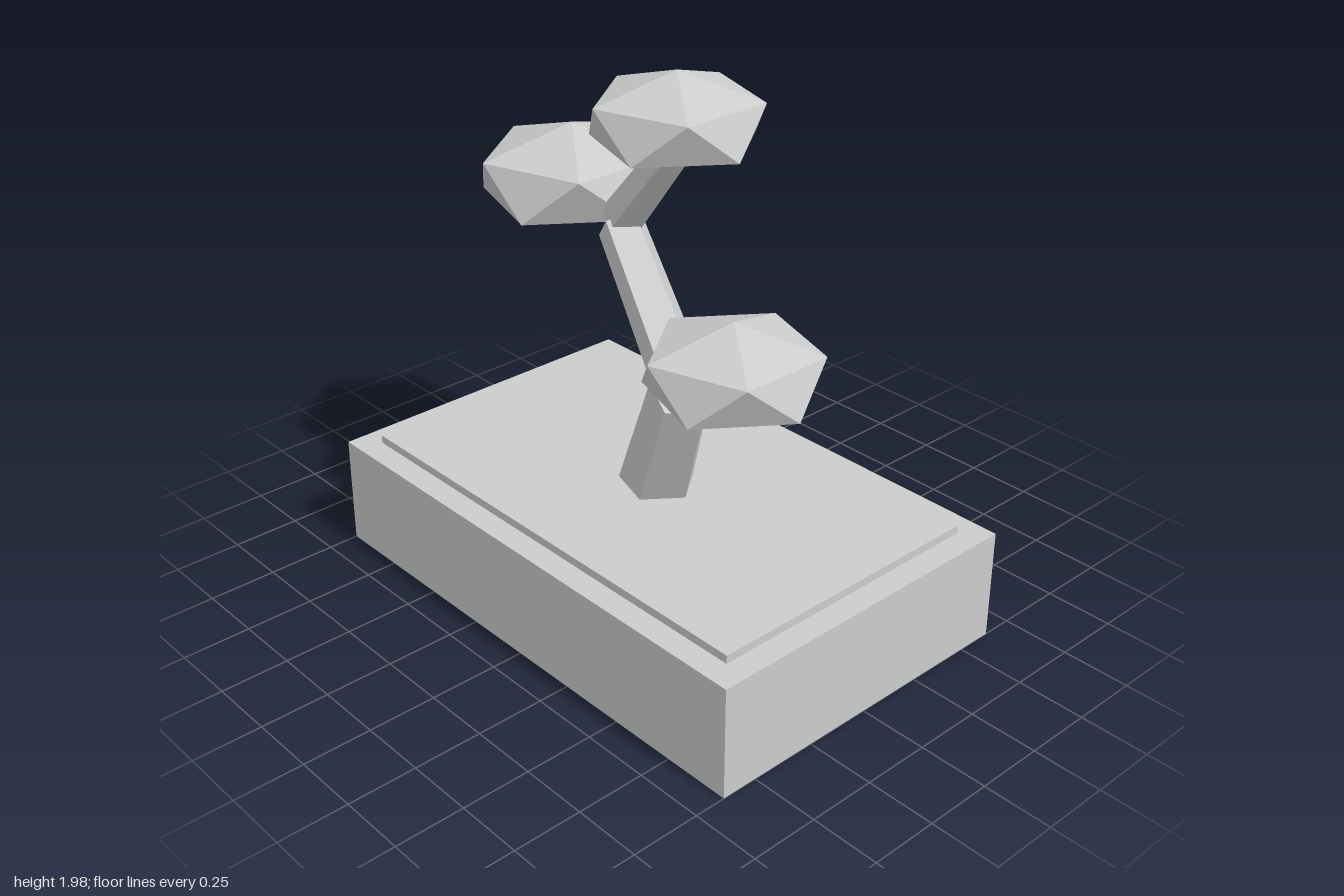
import * as THREE from 'three';

const UP = new THREE.Vector3(0, 1, 0);

export function createModel() {
  const model = new THREE.Group();
  model.name = 'bonsaiTree';
  const grey = new THREE.MeshStandardMaterial({ color: 0xcccccc });
  grey.name = 'plainGrey';

  const add = (name, geometry) => {
    const mesh = new THREE.Mesh(geometry, grey);
    mesh.name = name;
    model.add(mesh);
    return mesh;
  };

  // Faceted normals: split the faces apart
  const faceted = (geometry) => {
    const flat = geometry.index ? geometry.toNonIndexed() : geometry;
    flat.computeVertexNormals();
    return flat;
  };

  // Block with its bottom at y
  const slab = (name, w, h, d, y) => {
    add(name, new THREE.BoxGeometry(w, h, d)).position.y = y + h / 2;
  };

  // Tapered five-sided limb between two points
  const limb = (name, from, to, r0, r1) => {
    const a = new THREE.Vector3(...from);
    const b = new THREE.Vector3(...to);
    const dir = b.clone().sub(a);
    const geometry = new THREE.CylinderGeometry(r1, r0, dir.length(), 5, 1, false, Math.PI / 2);
    const mesh = add(name, faceted(geometry));
    mesh.position.copy(a).add(b).multiplyScalar(0.5);
    mesh.quaternion.setFromUnitVectors(UP, dir.normalize());
  };

  // Squashed icosahedron standing on a corner
  const foliage = (name, centre, radius) => {
    const geometry = new THREE.IcosahedronGeometry(radius, 0);
    geometry.rotateZ(Math.atan(2 / (1 + Math.sqrt(5))));
    geometry.scale(1, 0.505, 1);
    add(name, faceted(geometry)).position.set(...centre);
  };

  // Pot and soil
  slab('pot', 2, 0.41, 1.27, 0);
  slab('soil', 1.82, 0.03, 1.09, 0.41);

  // Trunk and branches
  limb('trunk', [-0.04, 0.32, -0.01], [0.22, 0.905, 0.09], 0.143, 0.112);
  limb('mainBranch', [0.225, 0.92, 0.09], [-0.235, 1.325, -0.045], 0.098, 0.086);
  limb('topBranch', [-0.235, 1.345, -0.05], [0.12, 1.74, 0], 0.08, 0.06);
  limb('sideBranch', [0.22, 0.905, 0.09], [0.52, 1.05, 0.17], 0.065, 0.046);

  // Leaf clumps
  foliage('rightFoliage', [-0.55, 1.413, -0.095], 0.37);
  foliage('topFoliage', [0.132, 1.82, 0.04], 0.317);
  foliage('leftFoliage', [0.542, 1.142, 0.177], 0.325);

  return model;
}
